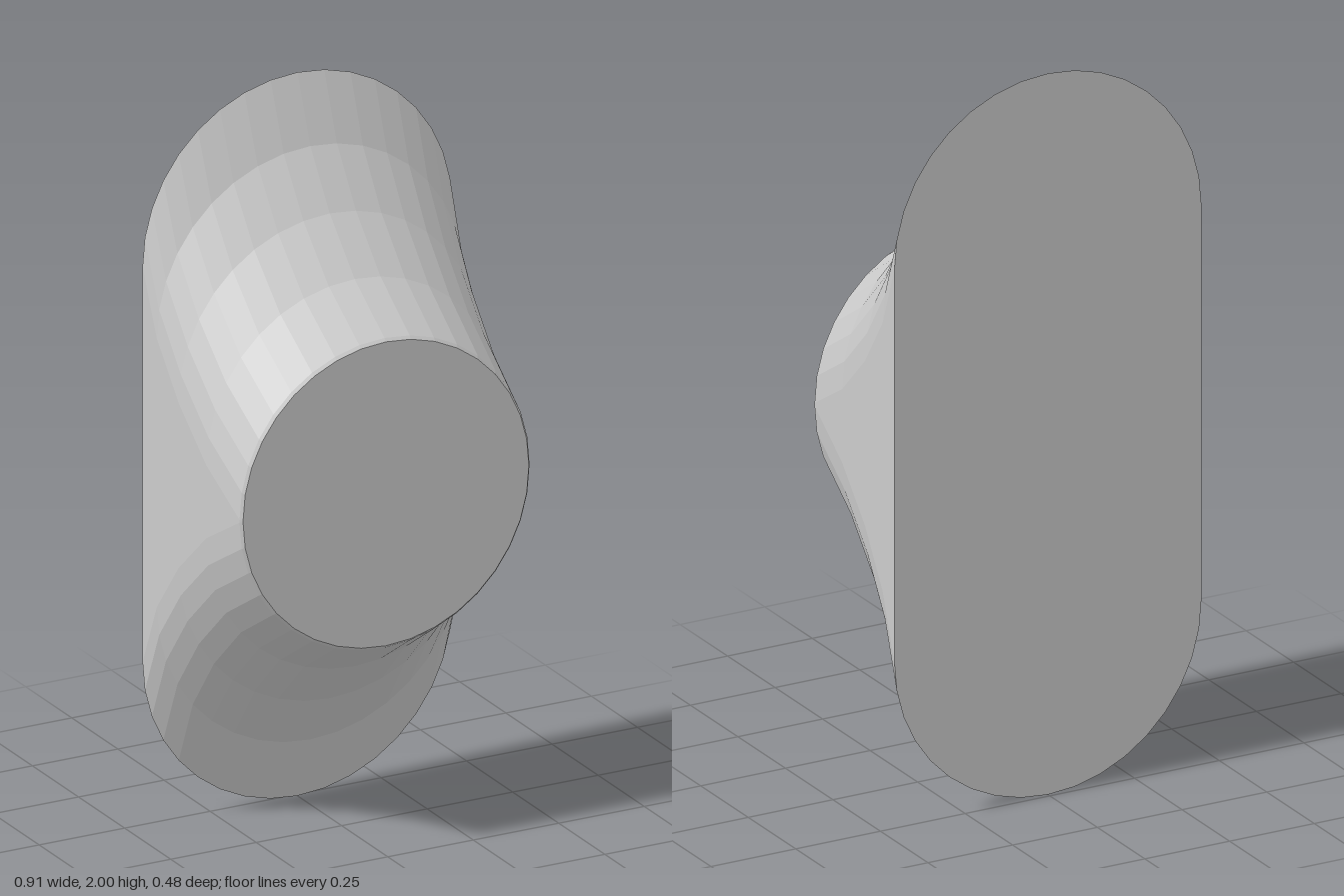
import * as THREE from 'three';

const ARC = 18; // segments per half circle

// Cross-sections from back to front: [z, half width, half height]
const SECTIONS = [
  [-0.24, 0.453, 1.0],
  [-0.17, 0.449, 0.82],
  [-0.065, 0.442, 0.67],
  [0.07, 0.434, 0.535],
  [0.232, 0.424, 0.428],
  [0.24, 0.418, 0.42],
];

// Upright stadium outline, counter-clockwise seen from the front
function outline([z, w, h]) {
  const straight = Math.max(h - w, 0);
  const points = [];
  for (const side of [1, -1]) {
    for (let i = 0; i <= ARC; i++) {
      const a = (i / ARC) * Math.PI;
      const arc = h - straight;
      points.push(new THREE.Vector3(
        side * w * Math.cos(a), 1 + side * (straight + arc * Math.sin(a)), z));
    }
  }
  return points;
}

function meshFrom(name, points, index, material) {
  const geometry = new THREE.BufferGeometry().setFromPoints(points);
  geometry.setIndex(index);
  geometry.computeVertexNormals();
  const mesh = new THREE.Mesh(geometry, material);
  mesh.name = name;
  return mesh;
}

// Flat end face as a fan around its centre
function cap(name, ring, front, material) {
  const n = ring.length;
  const index = [];
  for (let j = 0; j < n; j++) {
    const k = (j + 1) % n;
    index.push(n, front ? j : k, front ? k : j);
  }
  return meshFrom(name, [...ring, new THREE.Vector3(0, 1, ring[0].z)], index, material);
}

export function createModel() {
  const group = new THREE.Group();
  group.name = 'ovalToRoundTransition';
  const material = new THREE.MeshStandardMaterial({ color: 0xcccccc, flatShading: true });

  // Flared wall lofted through the sections
  const rings = SECTIONS.map(outline);
  const n = rings[0].length;
  const index = [];
  for (let i = 0; i < rings.length - 1; i++) {
    for (let j = 0; j < n; j++) {
      const k = (j + 1) % n;
      const a = i * n + j, b = i * n + k, c = b + n, d = a + n;
      index.push(a, b, c, a, c, d);
    }
  }
  group.add(meshFrom('flaredWall', rings.flat(), index, material));

  // Oval back plate and round front face
  group.add(cap('backFace', rings[0], false, material));
  group.add(cap('frontFace', rings[rings.length - 1], true, material));
  return group;
}
